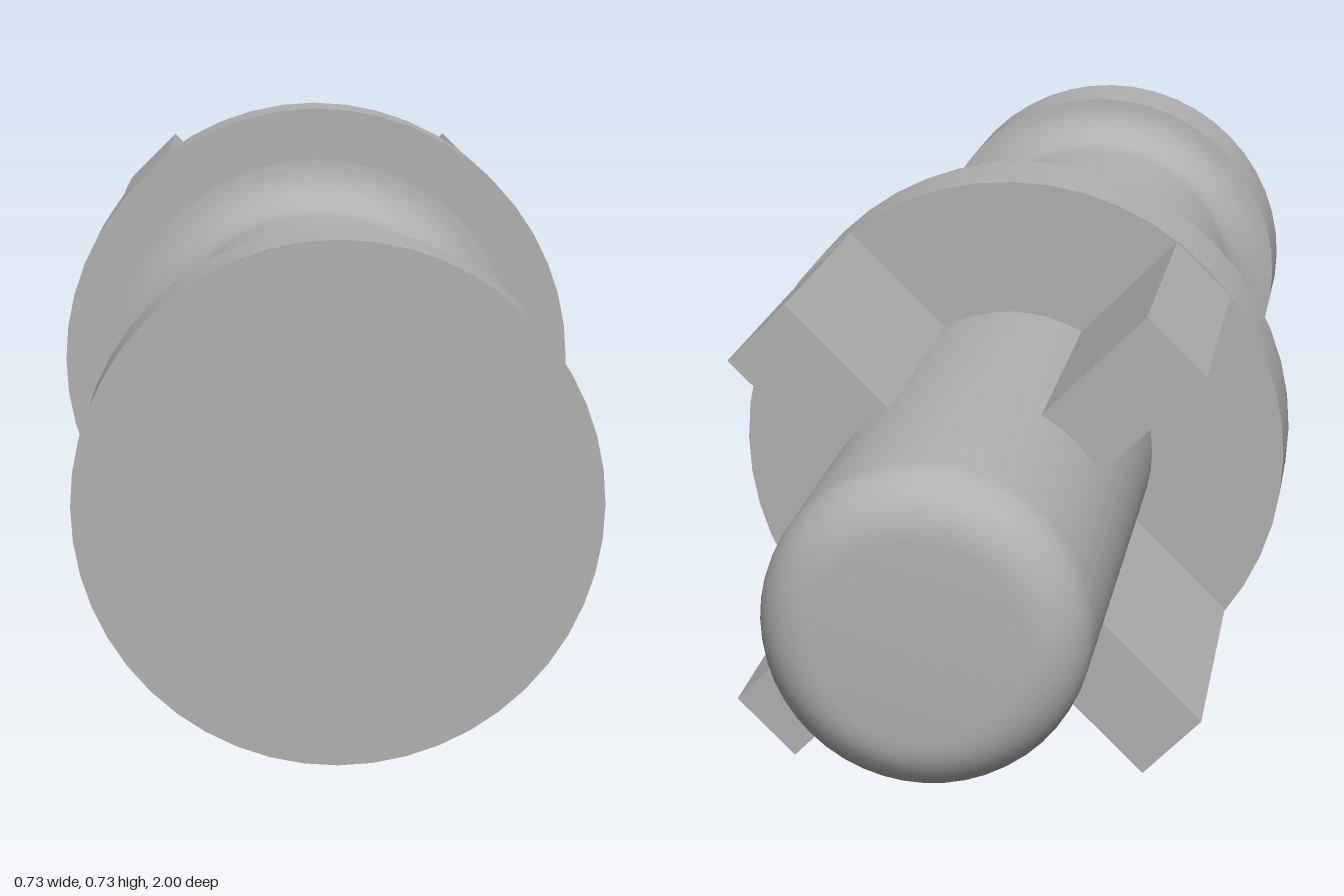
import * as THREE from 'three';
import { toCreasedNormals } from 'three/addons/utils/BufferGeometryUtils.js';

const AXIS_Y = 0.367;   // height of the long axis
const SEGMENTS = 48;

export function createModel() {
  const model = new THREE.Group();
  model.name = 'flangedPin';
  const grey = new THREE.MeshStandardMaterial({ color: 0xb0b0b0 });
  grey.name = 'plain grey';

  // Turned part from a [radius, z] profile running from back to front
  function turned(name, profile) {
    const points = profile.map(([r, z]) => new THREE.Vector2(r, z));
    const geometry = new THREE.LatheGeometry(points, SEGMENTS).rotateX(Math.PI / 2);
    const mesh = new THREE.Mesh(toCreasedNormals(geometry, 0.6), grey);
    mesh.name = name;
    mesh.position.y = AXIS_Y;
    model.add(mesh);
  }

  // Points on a rounded corner of the profile
  function arc(r, z, radius, from, to, steps = 8) {
    return Array.from({ length: steps + 1 }, (_, i) => {
      const a = THREE.MathUtils.degToRad(from + (to - from) * i / steps);
      return [r + radius * Math.cos(a), z + radius * Math.sin(a)];
    });
  }

  const disc = (radius, back, front) => [[0, back], [radius, back], [radius, front], [0, front]];

  // Back pin with a rounded end
  turned('pin', [[0, -1], ...arc(0.12, -0.93, 0.07, -90, 0), [0.19, -0.235]]);

  // Wide collar and end cap
  turned('collar', disc(0.367, -0.235, -0.09));
  turned('endCap', disc(0.293, 0.855, 1));

  // Main shaft, filleted into the collar and the cap
  turned('shaft', [
    ...arc(0.293, -0.017, 0.073, 270, 180),
    ...arc(0.293, 0.782, 0.073, 180, 90),
  ]);

  // Four diagonal fins behind the collar
  const finGeometry = new THREE.BoxGeometry(0.222, 0.102, 0.41);
  finGeometry.translate(0.251, 0, -0.44);
  for (let i = 0; i < 4; i++) {
    const fin = new THREE.Mesh(finGeometry, grey);
    fin.name = `fin${i + 1}`;
    fin.position.y = AXIS_Y;
    fin.rotation.z = Math.PI / 4 + i * Math.PI / 2;
    model.add(fin);
  }

  return model;
}
